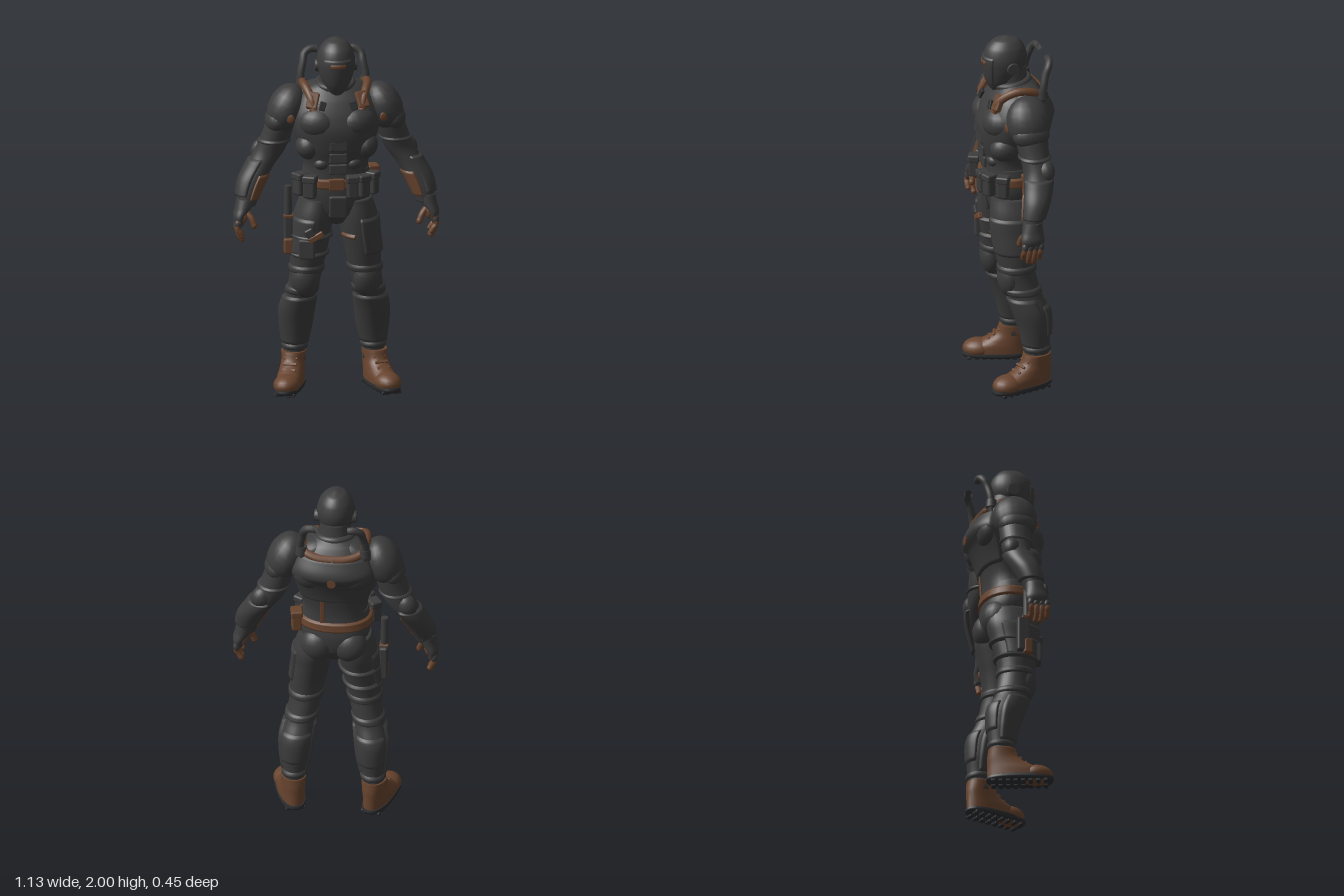
import * as THREE from 'three';
import { RoundedBoxGeometry } from 'three/addons/geometries/RoundedBoxGeometry.js';

const PI = Math.PI;
const paint = (name, color) => new THREE.MeshStandardMaterial({ name, color, side: THREE.DoubleSide });

// Smooth body made of stacked oval rings [x, y, z, radiusX, radiusZ], listed upward.
// With a y range or angle range it gives a raised plate over that body, edges tucked in.
function loft(rows, { n = 2, grow = 0, y0 = -9, y1 = 9, a0 = 0, a1 = 2 * PI } = {}) {
  const mid = new THREE.CatmullRomCurve3(rows.map(r => new THREE.Vector3(r[0], r[1], r[2])));
  const rad = new THREE.CatmullRomCurve3(rows.map(r => new THREE.Vector3(r[3], r[1], r[4])));
  const rings = [], steps = rows.length * 8, seg = 28;
  for (let i = 0; i <= steps; i++) {
    const c = mid.getPoint(i / steps), r = rad.getPoint(i / steps);
    if (c.y >= y0 && c.y <= y1) rings.push([c, r]);
  }
  const full = a1 - a0 > 6.28, cols = full ? seg : seg + 1, pos = [], idx = [];
  const pw = v => Math.sign(v) * Math.abs(v) ** (2 / n);
  rings.forEach(([c, r], i) => {
    for (let j = 0; j < cols; j++) {
      const a = a0 + (a1 - a0) * j / seg;
      const edge = i === 0 || i === rings.length - 1 || (!full && (j === 0 || j === seg));
      const g = grow && edge ? -0.004 : grow;
      pos.push(c.x + (r.x + g) * pw(Math.cos(a)), c.y, c.z + (r.z + g) * pw(Math.sin(a)));
    }
  });
  for (let i = 0; i < rings.length - 1; i++) for (let j = 0; j < seg; j++) {
    const k = full ? (j + 1) % seg : j + 1;
    const A = i * cols + j, B = A + cols, C = i * cols + k, D = C + cols;
    idx.push(A, B, C, C, B, D);
  }
  if (full && !grow) {
    const top = rings.length - 1, b = pos.length / 3;
    pos.push(...rings[0][0].toArray(), ...rings[top][0].toArray());
    for (let j = 0; j < seg; j++) {
      const k = (j + 1) % seg;
      idx.push(b, j, k, b + 1, top * cols + k, top * cols + j);
    }
  }
  const geo = new THREE.BufferGeometry();
  geo.setAttribute('position', new THREE.Float32BufferAttribute(pos, 3));
  geo.setIndex(idx);
  geo.computeVertexNormals();
  return geo;
}

export function createModel() {
  const model = new THREE.Group();
  const grey = paint('charcoal armour', 0x3c3c3c), brown = paint('brown leather', 0x68442e), dark = paint('dark rubber', 0x2c2d2f);
  const add = (to, name, geo, mat, p = [0, 0, 0], rot = [0, 0, 0], s = [1, 1, 1]) => {
    const m = new THREE.Mesh(geo, mat);
    m.name = name;
    m.position.set(...p); m.rotation.set(...rot); m.scale.set(...s);
    to.add(m);
  };
  const sphere = new THREE.SphereGeometry(1, 20, 12);
  const ball = (to, name, mat, p, s, rot) => add(to, name, sphere, mat, p, rot, s);
  const box = (to, name, mat, p, s, rot) => add(to, name, new RoundedBoxGeometry(...s, 1, Math.min(...s) * 0.25), mat, p, rot);
  const tube = (to, name, mat, r, pts) => add(to, name, new THREE.TubeGeometry(
    new THREE.CatmullRomCurve3(pts.map(p => new THREE.Vector3(...p))), 20, r, 10), mat);

  // Head and mask
  const head = [[0, 1.69, .075, .035, .035], [0, 1.75, .062, .073, .078], [0, 1.82, .043, .098, .113], [0, 1.88, .037, .104, .122],
    [0, 1.94, .035, .088, .105], [0, 1.98, .032, .055, .068], [0, 2, .03, .008, .01]];
  add(model, 'head', loft(head), grey);
  add(model, 'faceMask', loft(head, { grow: .006, y0: 1.70, y1: 1.9, a0: .75, a1: PI - .75 }), grey);
  add(model, 'browPatch', loft(head, { grow: .009, y0: 1.847, y1: 1.885, a0: 1.17, a1: PI - 1.17 }), brown);
  add(model, 'neck', loft([[0, 1.62, -.02, .13, .11], [0, 1.72, -.005, .095, .09], [0, 1.83, .01, .08, .085]]), grey);
  add(model, 'collar', new THREE.TorusGeometry(.092, .02, 10, 32), grey, [0, 1.735, 0], [PI / 2 + .15, 0, 0]);

  // Torso
  const torso = [[0, 1.2, .02, .185, .14], [0, 1.3, .02, .178, .14], [0, 1.4, .022, .21, .16], [0, 1.5, .008, .24, .183],
    [0, 1.57, -.02, .25, .195], [0, 1.66, -.022, .21, .155], [0, 1.72, -.025, .15, .11], [0, 1.75, -.02, .09, .08]];
  const hips = [[0, .96, .015, .045, .09], [0, 1.03, .012, .15, .135], [0, 1.12, .012, .19, .148], [0, 1.2, .018, .19, .142], [0, 1.27, .02, .18, .138]];
  add(model, 'torso', loft(torso, { n: 2.3 }), grey);
  add(model, 'hips', loft(hips, { n: 2.2 }), grey);
  add(model, 'backPlate', loft(torso, { n: 2.3, grow: .01, y0: 1.36, y1: 1.67, a0: PI + .5, a1: 2 * PI - .5 }), grey);
  add(model, 'belt', loft(hips, { n: 2.2, grow: .014, y0: 1.165, y1: 1.235 }), brown);
  box(model, 'buckle', brown, [-.01, 1.2, .166], [.085, .065, .025]);
  box(model, 'groinGuard', grey, [0, 1.07, .14], [.1, .13, .05], [.12, 0, 0]);
  add(model, 'backEmblem', new THREE.CylinderGeometry(.024, .024, .008, 16), brown, [0, 1.55, -.224], [PI / 2, 0, 0]);
  box(model, 'backStrap', brown, [.06, 1.3, -.118], [.024, .16, .016], [-.08, 0, 0]);
  [1.42, 1.35, 1.285].forEach((y, i) => box(model, 'bellyPlate', grey, [0, y, .17 - i * .008], [.1, .058, .035]));

  // Parts built for the left side, then mirrored
  const side = new THREE.Group();
  side.name = 'leftSide';
  ball(side, 'chestMuscle', grey, [.1, 1.535, .09], [.115, .095, .1], [0, .2, .1]);
  ball(side, 'ribPlate', grey, [.155, 1.4, .08], [.07, .075, .085], [0, 0, -.4]);
  ball(side, 'trapezius', grey, [.13, 1.68, -.05], [.11, .05, .09], [0, 0, -.4]);
  for (const y of [1.38, 1.31]) ball(side, 'abdomen', grey, [.085, y, .125], [.045, .035, .04]);
  ball(side, 'shoulderBlade', grey, [.12, 1.56, -.12], [.1, .1, .075]);
  add(side, 'earPiece', new THREE.CylinderGeometry(.032, .038, .03, 20), grey, [.1, 1.84, .02], [0, 0, -PI / 2]);
  tube(side, 'airHose', grey, .021, [[.17, 1.66, -.12], [.178, 1.74, -.13], [.165, 1.81, -.145], [.155, 1.855, -.165], [.12, 1.878, -.178], [.085, 1.875, -.18]]);
  add(side, 'hoseCollar', new THREE.CylinderGeometry(.028, .032, .045, 16), grey, [.174, 1.705, -.125]);
  tube(side, 'shoulderStrap', brown, .023, [[.13, 1.61, .135], [.145, 1.68, .105], [.172, 1.73, .02], [.175, 1.725, -.06],
    [.15, 1.69, -.125], [.08, 1.672, -.155], [0, 1.668, -.162]]);
  box(side, 'strapPouch', brown, [.135, 1.665, .115], [.062, .095, .035], [-.5, .15, .25]);
  box(side, 'strapClip', dark, [.085, 1.64, .145], [.035, .05, .018], [-.3, 0, .3]);

  // Arm
  const arm = [[.49, 1.06, .03, .05, .05], [.478, 1.12, .018, .062, .058], [.45, 1.2, -.005, .074, .068], [.405, 1.28, -.028, .076, .075],
    [.36, 1.35, -.035, .083, .075], [.325, 1.43, -.03, .082, .083], [.3, 1.51, -.025, .08, .09], [.265, 1.63, -.025, .075, .09]];
  add(side, 'arm', loft(arm), grey);
  ball(side, 'shoulderPad', grey, [.268, 1.592, -.018], [.1, .142, .124], [0, 0, .4]);
  ball(side, 'lowerShoulderPad', grey, [.315, 1.53, -.018], [.07, .075, .105], [0, 0, .4]);
  ball(side, 'shoulderBadge', brown, [.256, 1.56, .1], [.022, .026, .008], [0, .2, 0]);
  ball(side, 'elbowPad', grey, [.4, 1.345, -.075], [.055, .065, .05], [0, 0, .5]);
  add(side, 'forearmGuard', loft(arm, { grow: .013, y0: 1.11, y1: 1.32, a0: -2, a1: 1.4 }), grey);
  add(side, 'innerForearm', loft(arm, { grow: .007, y0: 1.09, y1: 1.24, a0: 1.7, a1: 3.6 }), brown);
  add(side, 'armBand', loft(arm, { grow: .009, y0: 1.39, y1: 1.43 }), grey);

  // Hand
  add(side, 'hand', loft([[.53, .955, .038, .022, .055], [.53, 1, .036, .035, .065], [.508, 1.05, .032, .046, .058], [.49, 1.1, .025, .054, .052]]), grey);
  ball(side, 'palm', brown, [.506, 1, .04], [.022, .05, .052], [0, 0, .3]);
  [[.085, .9], [.054, .875], [.024, .872], [-.006, .895]].forEach(([z, y]) => {
    tube(side, 'finger', brown, .0155, [[.535, .985, z], [.543, .94, z + .004], [.53, y + .02, z + .006], [.518, y, z + .004]]);
    ball(side, 'fingerTip', brown, [.518, y, z + .004], [.0155, .0155, .0155]);
    ball(side, 'knuckle', grey, [.541, .965, z], [.019, .028, .018]);
  });
  tube(side, 'thumb', brown, .017, [[.495, 1.03, .06], [.466, .995, .08], [.452, .96, .088]]);
  ball(side, 'thumbTip', brown, [.452, .96, .088], [.017, .02, .017]);

  // Leg
  const leg = [[.218, .15, -.08, .062, .07], [.215, .24, -.08, .063, .07], [.21, .35, -.073, .08, .086], [.205, .45, -.055, .088, .1],
    [.187, .55, -.015, .083, .095], [.17, .63, .008, .085, .1], [.16, .7, .018, .09, .1], [.148, .8, .022, .1, .115],
    [.132, .9, .018, .105, .132], [.12, 1, .01, .108, .145], [.1, 1.1, .008, .095, .135]];
  add(side, 'leg', loft(leg), grey);
  add(side, 'shinGuard', loft(leg, { grow: .012, y0: .24, y1: .54, a0: -.4, a1: PI + .4 }), grey);
  add(side, 'calfPlate', loft(leg, { grow: .008, y0: .3, y1: .5, a0: PI + .55, a1: 2 * PI - .55 }), grey);
  add(side, 'thighPlate', loft(leg, { grow: .01, y0: .77, y1: 1, a0: -.7, a1: 1.6 }), grey);
  for (const y of [.23, .57, .7]) add(side, 'legBand', loft(leg, { grow: .009, y0: y - .025, y1: y + .025 }), grey);
  ball(side, 'kneePad', grey, [.17, .635, .065], [.078, .105, .062], [.15, .15, 0]);
  ball(side, 'buttock', grey, [.09, 1.06, -.07], [.095, .1, .085]);

  // Boot, turned outward around the ankle
  const boot = new THREE.Group();
  boot.name = 'boot';
  boot.position.set(.22, 0, -.08);
  boot.rotation.y = .3;
  side.add(boot);
  add(boot, 'sole', loft([[0, .014, .1, .07, .178], [0, .025, .1, .074, .186], [0, .04, .1, .072, .184]], { n: 2.5 }), dark);
  add(boot, 'bootUpper', loft([[0, .035, .1, .07, .18], [0, .075, .085, .07, .165], [0, .11, .045, .066, .125], [0, .15, .012, .064, .092], [0, .205, .002, .067, .076]], { n: 2.2 }), brown);
  ball(boot, 'toeCap', brown, [0, .055, .19], [.073, .056, .09]);
  box(boot, 'tongue', dark, [0, .14, .1], [.05, .015, .09], [.7, 0, 0]);
  for (let i = 0; i < 3; i++) box(boot, 'lace', brown, [0, .12 + i * .026, .135 - i * .029], [.075, .012, .016], [.7, 0, 0]);
  for (let i = 0; i < 8; i++) for (const s of [-1, 1])
    box(boot, 'tread', dark, [s * .032, .01, -.045 + i * .041], [.048, .02, .024]);

  model.add(side);
  const other = side.clone();
  other.name = 'rightSide';
  other.scale.x = -1;
  model.add(other);

  // Belt pouches: [x, z, turn, width, material]
  for (const [x, z, turn, w, mat] of [[.075, .185, .1, .062, grey], [.138, .168, .4, .062, grey], [.195, .105, 1, .065, grey],
    [-.155, .165, -.4, .07, grey], [-.205, .095, -1, .07, grey], [.208, -.04, 1.75, .07, brown]]) {
    box(model, 'beltPouch', mat, [x, 1.19, z], [w, .125, .058], [0, turn, 0]);
    box(model, 'pouchFlap', mat, [x, 1.235, z], [w + .008, .04, .066], [0, turn, 0]);
  }

  // Right thigh: straps, sidearm and sheath
  const rightLeg = leg.map(([x, ...r]) => [-x, ...r]);
  for (const y of [.79, .89]) add(model, 'thighStrap', loft(rightLeg, { grow: .014, y0: y - .025, y1: y + .025 }), grey);
  box(model, 'sheath', grey, [-.262, .9, .03], [.045, .2, .07]);
  box(model, 'sheathTip', brown, [-.262, .83, .055], [.052, .09, .05]);
  add(model, 'knifeHandle', new THREE.CylinderGeometry(.02, .023, .17, 14), grey, [-.265, 1.085, .05]);
  box(model, 'knifeGuard', brown, [-.263, 1.0, .05], [.05, .018, .06]);
  box(model, 'thighPouch', grey, [-.17, .83, .135], [.09, .11, .045], [0, -.2, 0]);
  box(model, 'pistolGrip', brown, [-.12, .9, .15], [.09, .035, .03], [0, 0, .5]);
  box(model, 'pistolBody', grey, [-.155, .925, .15], [.05, .05, .035], [0, 0, .5]);
  add(model, 'leftThighTab', loft(leg, { grow: .012, y0: .865, y1: .91, a0: 1.9, a1: 2.8 }), brown);
  return model;
}
